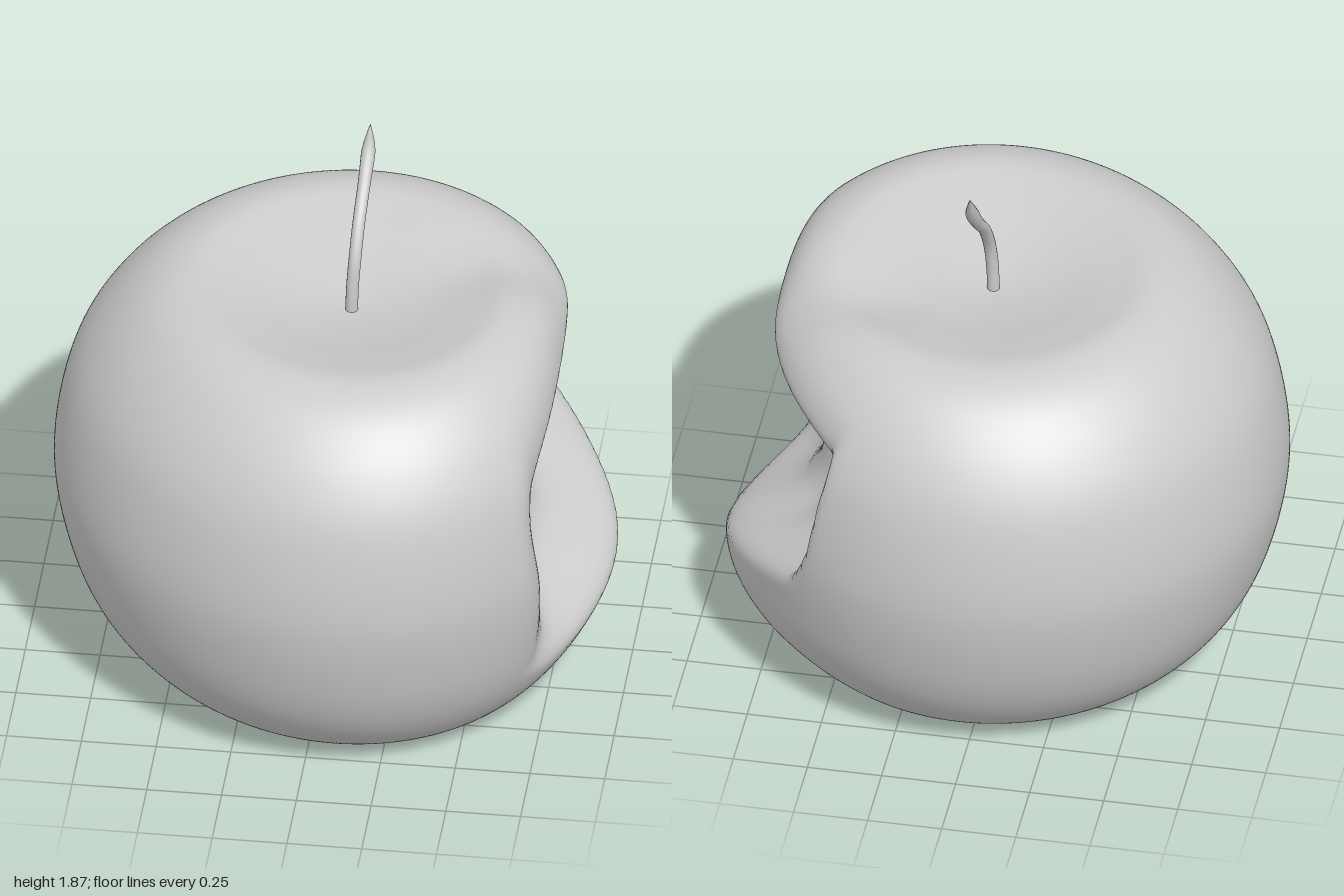
import * as THREE from 'three';
import { mergeVertices } from 'three/addons/utils/BufferGeometryUtils.js';

const { smoothstep } = THREE.MathUtils;
const bell = (v, centre, width) => Math.exp(-(((v - centre) / width) ** 2));

function smoothMin(a, b, k) {
  const h = Math.max(k - Math.abs(a - b), 0) / k;
  return Math.min(a, b) - (h * h * k) / 4;
}

// Slightly uneven outline of the fruit seen from above (angle runs from +x to +z)
const outline = (a) => 0.971 + 0.02 * Math.sin(2 * a) - 0.029 * Math.cos(2 * a)
  + 0.02 * Math.cos(a) - 0.01 * Math.cos(3 * a);

// x of the bitten surface at a given height and depth
function biteSurface(y, z) {
  // Flattened face that the bite leaves, wrapping round at the back
  const face = 0.79 - 1.0 * Math.max(0, -z - 0.2) ** 2 - 0.15 * Math.max(0, z - 0.2) ** 2
    - 0.05 * bell(y, 0.9, 0.22)
    + 1.3 * smoothstep(-z, 0.73, 1.05) + 0.35 * smoothstep(z, 0.5, 1);
  // Lower lip, rising towards the back
  const lipY = 0.33 - 0.28 * (z + 0.1) + 0.4 * Math.max(0, -z - 0.4) ** 2;
  const lip = 0.6 * (1 - smoothstep(y, lipY - 0.26, lipY + 0.2));
  // Hollow with two scooped lobes
  const top = 1.24 - 0.3 * (z + 0.2) ** 2, bottom = lipY - 0.02;
  const v = (y - (top + bottom) / 2) / ((top - bottom) / 2);
  const hollow = (1 - smoothstep(v, 0.5, 1.02)) * (1 - smoothstep(-v, 0.3, 1.02))
    * (1 - smoothstep(z, 0.1, 0.6)) * (1 - smoothstep(-z, 0.5, 0.9));
  const depth = 0.15 + 0.08 * bell(z, -0.29, 0.14) + 0.03 * bell(z, 0.3, 0.17)
    + 0.05 * smoothstep(y, 0.6, 1);
  return face + lip - depth * hollow;
}

function bodyGeometry() {
  // Half profile from the bottom dimple up to the top dimple
  const profile = new THREE.SplineCurve([
    [0, 0.085], [0.1, 0.083], [0.25, 0.067], [0.42, 0.022], [0.57, 0], [0.72, 0.045],
    [0.865, 0.2], [0.955, 0.41], [1, 0.7], [0.96, 1.0], [0.87, 1.2], [0.73, 1.35],
    [0.58, 1.41], [0.43, 1.387], [0.25, 1.342], [0.1, 1.314], [0, 1.305],
  ].map(([x, y]) => new THREE.Vector2(x, y)));
  const points = profile.getSpacedPoints(150);
  points[0].x = points[150].x = 0;

  let geo = new THREE.LatheGeometry(points, 240);
  const p = geo.attributes.position;
  for (let i = 0; i < p.count; i++) {
    let x = p.getX(i), y = p.getY(i), z = p.getZ(i);
    const r = Math.hypot(x, z);
    const k = outline(Math.atan2(z, x));
    x = x * k + 0.06 * Math.max(0, 1 - r ** 3);
    z *= k;

    if (x > 0) {
      // Swollen lower lip, then the bite itself
      x += 0.06 * bell(y, 0.27, 0.2) * bell(z, -0.26, 0.42) * smoothstep(x, 0.3, 0.7);
      x += (smoothMin(x, biteSurface(y, z), 0.13) - x) * smoothstep(x, 0.1, 0.35);
      // Shallow dent in the top rim above the bite
      y -= 0.04 * bell(z, -0.22, 0.19) * smoothstep(x, 0.15, 0.5) * smoothstep(y, 1.22, 1.38);
    }
    p.setXYZ(i, x, y, z);
  }
  geo.deleteAttribute('uv');
  geo.deleteAttribute('normal');
  geo = mergeVertices(geo, 1e-5);
  geo.computeVertexNormals();
  return geo;
}

function stemGeometry() {
  const curve = new THREE.CatmullRomCurve3([
    [0.06, 1.26, 0.01], [0.064, 1.4, 0.006], [0.07, 1.5, -0.012], [0.075, 1.6, -0.068],
    [0.082, 1.7, -0.16], [0.088, 1.79, -0.23], [0.09, 1.87, -0.264],
  ].map((a) => new THREE.Vector3(...a)));
  const rings = 48, sides = 16;
  const geo = new THREE.TubeGeometry(curve, rings, 0.021, sides);
  const p = geo.attributes.position, v = new THREE.Vector3();
  // Swell the upper end, then taper it to a point
  for (let i = 0; i <= rings; i++) {
    const t = i / rings, c = curve.getPointAt(t);
    const s = (1 + 0.15 * bell(t, 0.88, 0.12)) * Math.sqrt(1 - smoothstep(t, 0.84, 1));
    for (let j = 0; j <= sides; j++) {
      const n = i * (sides + 1) + j;
      v.fromBufferAttribute(p, n).sub(c).multiplyScalar(s).add(c);
      p.setXYZ(n, v.x, v.y, v.z);
    }
  }
  return geo;
}

export function createModel() {
  const group = new THREE.Group();
  group.name = 'bittenApple';
  const material = new THREE.MeshStandardMaterial({ color: 0xcccccc });
  const parts = { appleBody: bodyGeometry(), stem: stemGeometry() };
  for (const [name, geometry] of Object.entries(parts)) {
    const mesh = new THREE.Mesh(geometry, material);
    mesh.name = name;
    group.add(mesh);
  }
  return group;
}
